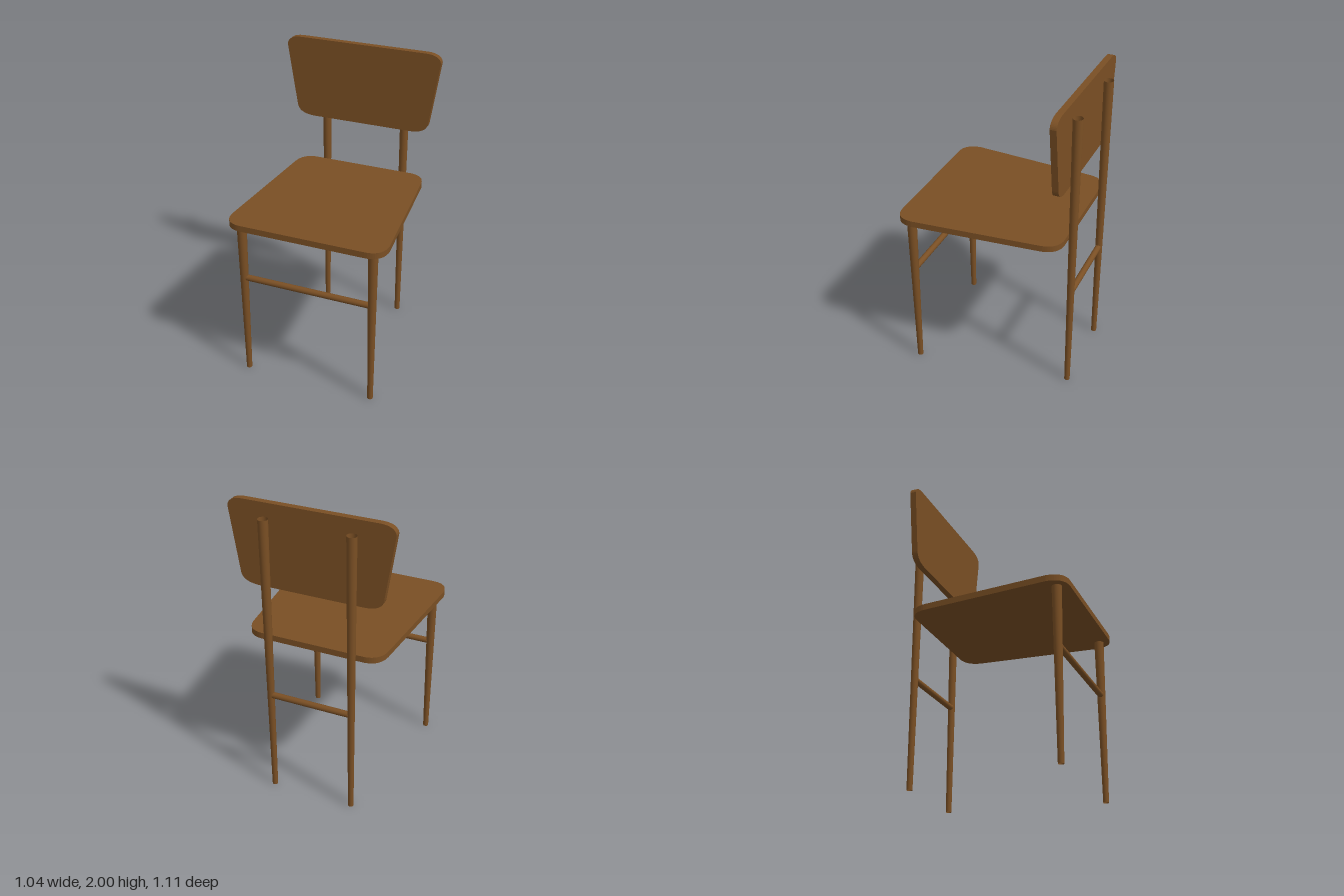
import * as THREE from 'three';

const wood = new THREE.MeshStandardMaterial({ color: 0x7a4f24, side: THREE.DoubleSide });
wood.name = 'brown wood';

// Mirrored panel outline: [x, y] pairs down the +x side, as
// top edge end, top corner, side start, side end, bottom corner, bottom edge end
function panel(name, [a, b, c, d, e, f], depth) {
  const s = new THREE.Shape();
  s.moveTo(-a[0], a[1]);
  s.lineTo(a[0], a[1]);
  s.quadraticCurveTo(b[0], b[1], c[0], c[1]);
  s.lineTo(d[0], d[1]);
  s.quadraticCurveTo(e[0], e[1], f[0], f[1]);
  s.lineTo(-f[0], f[1]);
  s.quadraticCurveTo(-e[0], e[1], -d[0], d[1]);
  s.lineTo(-c[0], c[1]);
  s.quadraticCurveTo(-b[0], b[1], -a[0], a[1]);
  const geometry = new THREE.ExtrudeGeometry(s, { depth, bevelEnabled: false, curveSegments: 12 });
  const mesh = new THREE.Mesh(geometry, wood);
  mesh.name = name;
  return mesh;
}

// Tapered open tube standing on the floor
function leg(name, x, z, height) {
  const mesh = new THREE.Mesh(new THREE.CylinderGeometry(0.031, 0.018, height, 24, 1, true), wood);
  mesh.position.set(x, height / 2, z);
  mesh.name = name;
  return mesh;
}

// Thin round bar between a pair of legs
function rail(name, halfLength, z) {
  const mesh = new THREE.Mesh(new THREE.CylinderGeometry(0.02, 0.02, halfLength * 2, 20, 1, true), wood);
  mesh.rotation.z = Math.PI / 2;
  mesh.position.set(0, 0.715, z);
  mesh.name = name;
  return mesh;
}

export function createModel() {
  const chair = new THREE.Group();
  chair.name = 'chair';

  // Seat, drawn with its back edge at the top, then laid flat
  const seat = panel('seat', [
    [0.34, 0.497], [0.44, 0.49], [0.45, 0.38],
    [0.516, -0.44], [0.51, -0.556], [0.4, -0.556],
  ], 0.04);
  seat.rotation.x = -Math.PI / 2;
  seat.position.y = 1.095;
  chair.add(seat);

  // Backrest, wider at the top
  const backrest = panel('backrest', [
    [0.415, 2], [0.51, 2], [0.518, 1.945],
    [0.455, 1.53], [0.445, 1.462], [0.325, 1.462],
  ], 0.04);
  backrest.position.z = -0.491;
  chair.add(backrest);

  // Legs: the back pair runs up behind the backrest
  for (const [side, label] of [[1, 'left'], [-1, 'right']]) {
    chair.add(leg(label + 'FrontLeg', side * 0.43, 0.48, 1.097));
    chair.add(leg(label + 'BackPost', side * 0.273, -0.527, 1.915));
  }

  chair.add(rail('frontRail', 0.43, 0.48));
  chair.add(rail('backRail', 0.273, -0.527));
  return chair;
}
